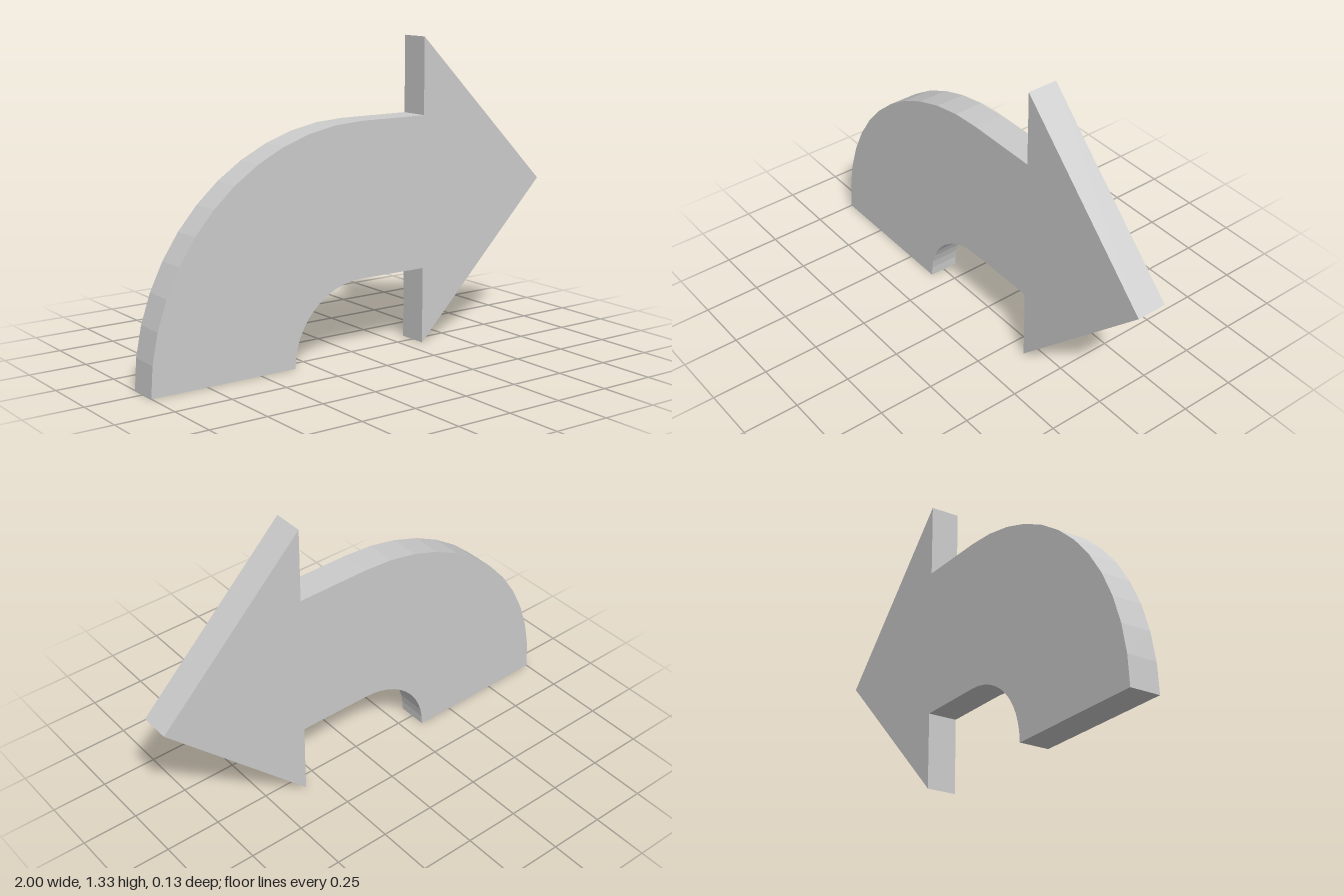
import * as THREE from 'three';

export function createModel() {
  const group = new THREE.Group();
  group.name = 'curvedArrow';
  const t = 1 / 3;          // a third of the arrow's half length
  const depth = 0.4 * t;

  // Outline: quarter-ring tail, straight shaft, triangular head
  const outline = new THREE.Shape();
  outline.moveTo(-t, 0);
  outline.absarc(0, 0, t, Math.PI, Math.PI / 2, true);
  outline.lineTo(t, t);
  outline.lineTo(t, 0);
  outline.lineTo(1, 2 * t);
  outline.lineTo(t, 4 * t);
  outline.lineTo(t, 1);
  outline.lineTo(0, 1);
  outline.absarc(0, 0, 1, Math.PI / 2, Math.PI, false);
  outline.closePath();

  // Flat plate, 12 facets per quarter arc
  const geometry = new THREE.ExtrudeGeometry(outline, { depth, bevelEnabled: false, curveSegments: 6 });
  geometry.translate(0, 0, -depth / 2);
  const arrow = new THREE.Mesh(
    geometry,
    new THREE.MeshStandardMaterial({ color: 0xcccccc, flatShading: true })
  );
  arrow.name = 'arrowPlate';
  group.add(arrow);
  return group;
}
